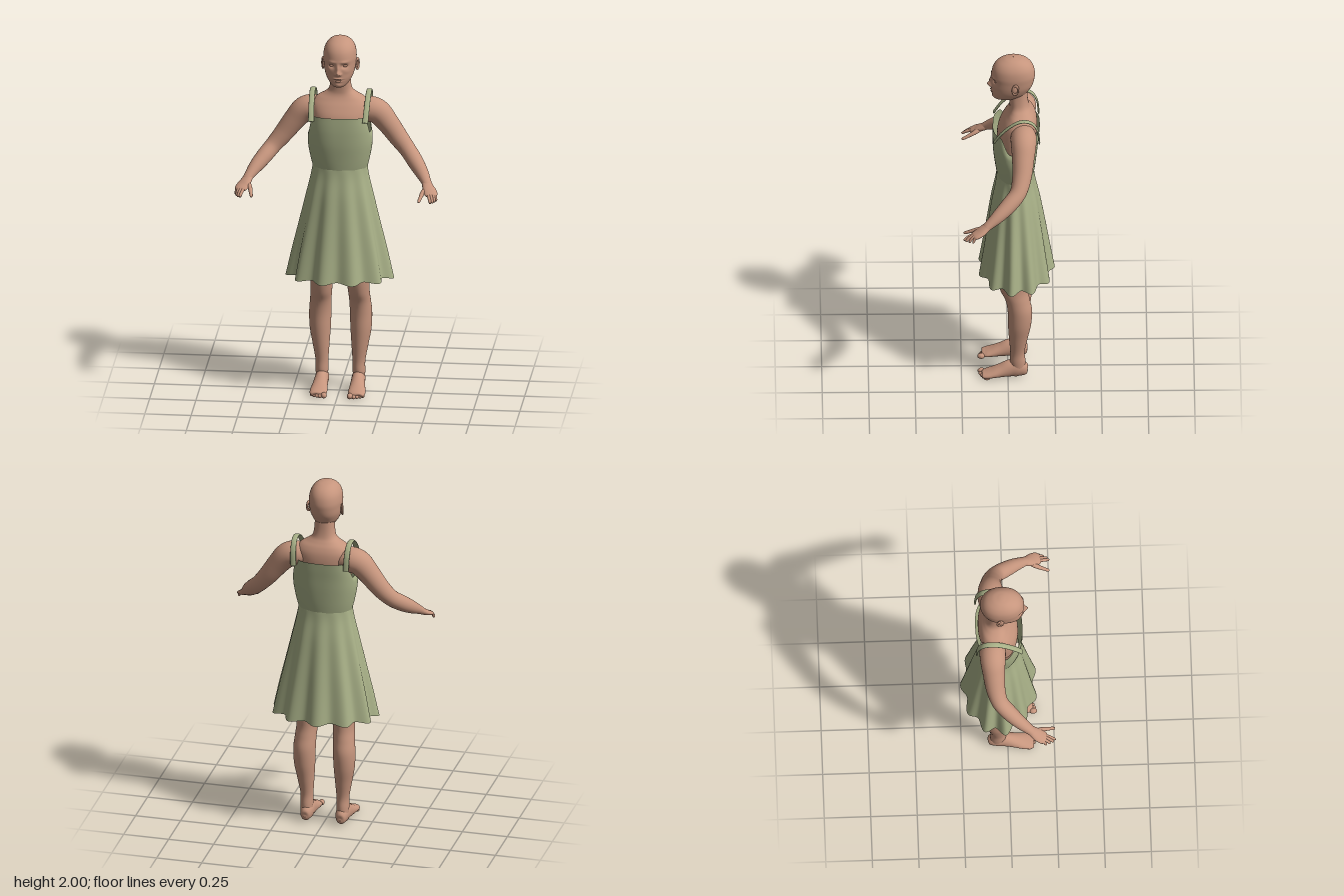
import * as THREE from 'three';

const skin = new THREE.MeshStandardMaterial({ color: 0xc6957d, side: THREE.DoubleSide });
skin.name = 'skin';
const cloth = new THREE.MeshStandardMaterial({ color: 0xa8b087, side: THREE.DoubleSide });
cloth.name = 'sage cloth';

// Smoothly interpolates the rows of a small table at t in 0..1
function sample(table, t) {
  const f = t * (table.length - 1);
  const i = Math.min(Math.floor(f), table.length - 2);
  const k = f - i;
  const row = (n) => table[Math.max(0, Math.min(table.length - 1, n))];
  return table[0].map((_, c) => {
    const [a, b, d, e] = [row(i - 1)[c], row(i)[c], row(i + 1)[c], row(i + 2)[c]];
    return b + 0.5 * k * (d - a + k * (2 * a - 5 * b + 4 * d - e + k * (3 * (b - d) + e - a)));
  });
}

// Closed-ring surface from point(angle, v)
function surface(point, rows, segs) {
  const pos = [], index = [];
  for (let i = 0; i <= rows; i++) {
    for (let j = 0; j < segs; j++) {
      pos.push(...point((j / segs) * Math.PI * 2, i / rows));
      if (i === rows) continue;
      const a = i * segs + j, b = i * segs + ((j + 1) % segs);
      index.push(a, b, b + segs, a, b + segs, a + segs);
    }
  }
  const geo = new THREE.BufferGeometry();
  geo.setAttribute('position', new THREE.Float32BufferAttribute(pos, 3));
  geo.setIndex(index);
  geo.computeVertexNormals();
  return geo;
}

// Point on an upright cross-section row [y, centreX, halfWidth, zFront, zBack]
function sectionPoint([y, cx, rx, zf, zb], a, power = 2) {
  const bend = (s) => Math.sign(s) * Math.abs(s) ** (2 / power);
  return [cx + rx * bend(Math.sin(a)), y, (zf + zb) / 2 + ((zf - zb) / 2) * bend(Math.cos(a))];
}

// Tube along rows [x, y, z, radius, flatness]
function limb(table, rows = 24, segs = 20, ref = new THREE.Vector3(0, 1, 0)) {
  const at = (t) => new THREE.Vector3(...sample(table, Math.max(0, Math.min(1, t))));
  return surface((a, v) => {
    const [x, y, z, r, flat] = sample(table, v);
    const T = at(v + 0.01).sub(at(v - 0.01)).normalize();
    const N = ref.clone().cross(T).normalize();
    const B = T.clone().cross(N);
    return new THREE.Vector3(x, y, z)
      .addScaledVector(N, r * Math.cos(a))
      .addScaledVector(B, r * flat * Math.sin(a)).toArray();
  }, rows, segs);
}

function ball(x, y, z, rx, ry, rz) {
  return new THREE.SphereGeometry(1, 20, 14).scale(rx, ry, rz).translate(x, y, z);
}

function mirrored(geo) {
  const copy = geo.clone().scale(-1, 1, 1);
  const ix = copy.index.array;
  for (let i = 0; i < ix.length; i += 3) [ix[i], ix[i + 1]] = [ix[i + 1], ix[i]];
  copy.computeVertexNormals();
  return copy;
}

export function createModel() {
  const model = new THREE.Group();
  model.name = 'figure in dress';
  const add = (name, geo, mat) => {
    const mesh = new THREE.Mesh(geo, mat);
    mesh.name = name;
    model.add(mesh);
  };
  const pair = (name, geo, mat) => {
    add(name + 'Left', geo, mat);
    add(name + 'Right', mirrored(geo), mat);
  };

  // Head, with facial relief as soft bumps [x, y, spreadX, spreadY, depth]
  const headRows = [
    [1.738, 0, 0.004, 0.045, 0.035], [1.741, 0, 0.028, 0.066, -0.03], [1.752, 0, 0.046, 0.078, -0.07],
    [1.775, 0, 0.063, 0.084, -0.1], [1.8, 0, 0.075, 0.087, -0.117], [1.83, 0, 0.083, 0.087, -0.134],
    [1.865, 0, 0.087, 0.088, -0.143], [1.9, 0, 0.089, 0.088, -0.146], [1.94, 0, 0.083, 0.078, -0.137],
    [1.97, 0, 0.067, 0.056, -0.116], [1.99, 0, 0.044, 0.022, -0.083], [1.998, 0, 0.02, -0.01, -0.05],
    [2, 0, 0.001, -0.029, -0.031],
  ];
  const bumps = [
    [0, 1.828, 0.012, 0.013, 0.022], [0, 1.852, 0.01, 0.022, 0.012], [0, 1.795, 0.02, 0.005, 0.008],
    [0, 1.781, 0.017, 0.005, 0.007], [0, 1.788, 0.024, 0.0025, -0.006], [0, 1.757, 0.02, 0.011, 0.005],
  ];
  for (const s of [-1, 1]) {
    bumps.push([s * 0.035, 1.866, 0.016, 0.011, -0.015], [s * 0.034, 1.889, 0.022, 0.007, 0.005],
      [s * 0.014, 1.822, 0.007, 0.007, 0.009], [s * 0.05, 1.835, 0.018, 0.014, 0.003]);
  }
  add('head', surface((u, v) => {
    const a = u - 0.55 * Math.sin(u); // more detail on the face
    const p = sectionPoint(sample(headRows, v), a, 2.15);
    if (Math.cos(a) > 0) {
      for (const [x, y, sx, sy, d] of bumps) {
        p[2] += d * Math.exp(-(((p[0] - x) / sx) ** 2) - ((p[1] - y) / sy) ** 2);
      }
    }
    return p;
  }, 110, 96), skin);
  pair('eye', ball(0.035, 1.866, 0.062, 0.014, 0.008, 0.011), skin);
  const ear = new THREE.TorusGeometry(0.02, 0.006, 8, 24).scale(0.8, 1.35, 1)
    .rotateY(Math.PI / 2 - 0.35).rotateX(-0.15).translate(0.093, 1.845, -0.04);
  pair('earRim', ear, skin);
  pair('ear', ball(0.089, 1.843, -0.036, 0.007, 0.027, 0.016), skin);

  // Chest, shoulders and neck
  const torsoRows = [
    [1.42, 0, 0.14, 0.05, -0.14], [1.5, 0, 0.147, 0.058, -0.15], [1.56, 0, 0.153, 0.05, -0.158],
    [1.61, 0, 0.155, 0.025, -0.155], [1.645, 0, 0.13, 0.003, -0.143], [1.67, 0, 0.09, -0.008, -0.127],
    [1.695, 0, 0.064, -0.01, -0.114], [1.74, 0, 0.055, -0.006, -0.107], [1.81, 0, 0.052, 0, -0.105],
  ];
  add('torsoAndNeck', surface((a, v) => sectionPoint(sample(torsoRows, v), a, 2.3), 40, 48), skin);

  // Arms
  pair('arm', limb([
    [0.1, 1.57, -0.08, 0.06, 1], [0.15, 1.575, -0.083, 0.07, 1], [0.2, 1.56, -0.083, 0.068, 1],
    [0.25, 1.505, -0.08, 0.06, 1], [0.31, 1.425, -0.072, 0.052, 1], [0.365, 1.36, -0.05, 0.045, 1],
    [0.41, 1.312, 0.0, 0.043, 1], [0.45, 1.27, 0.055, 0.036, 1], [0.48, 1.235, 0.105, 0.027, 0.9],
    [0.489, 1.222, 0.122, 0.027, 0.75],
  ], 50, 28), skin);

  // Hands: palm, four fingers and thumb
  pair('palm', limb([
    [0.478, 1.237, 0.1, 0.024, 0.9], [0.49, 1.218, 0.128, 0.031, 0.62], [0.505, 1.2, 0.157, 0.037, 0.42],
    [0.516, 1.186, 0.186, 0.032, 0.36], [0.519, 1.181, 0.196, 0.004, 0.4],
  ]), skin);
  const fingers = [[0.497, 0.178, 0.513, 0.243], [0.51, 0.182, 0.525, 0.233],
    [0.523, 0.178, 0.534, 0.216], [0.532, 0.17, 0.541, 0.196]];
  fingers.forEach(([x, z, tx, tz], i) => pair('finger' + (i + 1), limb([
    [x, 1.192, z, 0.009, 0.9], [(x + tx) / 2, 1.181, (z + tz) / 2, 0.0085, 0.9],
    [tx, 1.163, tz - 0.005, 0.007, 0.9], [tx, 1.16, tz, 0.001, 1],
  ], 14, 12), skin));
  pair('thumb', limb([
    [0.483, 1.212, 0.135, 0.014, 0.9], [0.467, 1.196, 0.172, 0.013, 0.9], [0.458, 1.179, 0.208, 0.01, 0.9],
    [0.452, 1.166, 0.236, 0.008, 0.9], [0.451, 1.163, 0.243, 0.001, 1],
  ], 18, 12), skin);

  // Legs, ending just inside the skirt
  const legRows = [
    [0.045, 0.1, 0.032, -0.018, -0.095], [0.1, 0.1, 0.034, -0.01, -0.094], [0.16, 0.1, 0.035, -0.012, -0.09],
    [0.25, 0.105, 0.046, -0.005, -0.106], [0.34, 0.11, 0.057, 0, -0.124], [0.43, 0.11, 0.06, 0.002, -0.13],
    [0.5, 0.106, 0.058, 0.014, -0.117], [0.56, 0.101, 0.058, 0.042, -0.109], [0.64, 0.098, 0.063, 0.066, -0.115],
    [0.73, 0.096, 0.068, 0.08, -0.12],
  ];
  pair('leg', surface((a, v) => sectionPoint(sample(legRows, v), a), 50, 32), skin);

  // Feet and toes
  pair('foot', limb([
    [0.098, 0.035, -0.106, 0.003, 1.2], [0.098, 0.037, -0.097, 0.024, 1.3], [0.098, 0.052, -0.06, 0.036, 1.4],
    [0.099, 0.052, -0.015, 0.037, 1.35], [0.101, 0.039, 0.035, 0.041, 0.9], [0.103, 0.028, 0.08, 0.046, 0.56],
    [0.103, 0.021, 0.115, 0.046, 0.4], [0.1, 0.018, 0.135, 0.036, 0.38], [0.1, 0.017, 0.14, 0.003, 0.4],
  ], 36, 28), skin);
  const toes = [[0.07, 0.142, 0.016], [0.091, 0.14, 0.0115], [0.108, 0.133, 0.011], [0.124, 0.124, 0.0105], [0.138, 0.113, 0.01]];
  toes.forEach(([x, z, r], i) => pair('toe' + (i + 1), ball(x, r, z, r, r, r * 0.7 + 0.01), skin));

  // Bodice, dipping under the arms
  const bodiceRows = [
    [1.265, 0, 0.148, 0.06, -0.14], [1.32, 0, 0.16, 0.068, -0.148], [1.4, 0, 0.172, 0.078, -0.157],
    [1.47, 0, 0.174, 0.082, -0.163], [1.52, 0, 0.17, 0.082, -0.168], [1.567, 0, 0.163, 0.08, -0.172],
  ];
  add('bodice', surface((a, v) => {
    const p = sectionPoint(sample(bodiceRows, v), a, 2 + 0.8 * v);
    const dip = 0.1 * (1 - THREE.MathUtils.smoothstep(Math.abs(Math.cos(a)), 0.15, 0.6));
    p[1] -= dip * v * v;
    return p;
  }, 30, 96), cloth);

  // Shoulder straps
  pair('strap', limb([
    [0.146, 1.545, 0.074, 0.005, 3.2], [0.149, 1.6, 0.036, 0.005, 3.1], [0.151, 1.652, -0.018, 0.005, 3],
    [0.152, 1.679, -0.07, 0.005, 3], [0.151, 1.67, -0.125, 0.005, 3], [0.149, 1.62, -0.158, 0.005, 3.1],
    [0.146, 1.54, -0.168, 0.005, 3.2],
  ], 36, 16, new THREE.Vector3(1, 0, 0)), cloth);

  // Skirt with eleven folds that deepen towards the hem
  const skirtRows = [
    [0.648, 0, 0.277, 0.15, -0.239], [0.8, 0, 0.247, 0.128, -0.216], [0.95, 0, 0.214, 0.108, -0.194],
    [1.1, 0, 0.181, 0.087, -0.17], [1.21, 0, 0.157, 0.067, -0.148], [1.27, 0, 0.148, 0.06, -0.14],
  ];
  add('skirt', surface((a, v) => {
    const p = sectionPoint(sample(skirtRows, v), a);
    const wave = Math.cos(11 * (a + Math.PI));
    const fold = 1 + 0.07 * (1 - v) ** 0.8 * wave;
    const zc = -0.045;
    return [p[0] * fold, p[1] - 0.006 * wave * (1 - v), zc + (p[2] - zc) * fold];
  }, 40, 176), cloth);

  return model;
}
